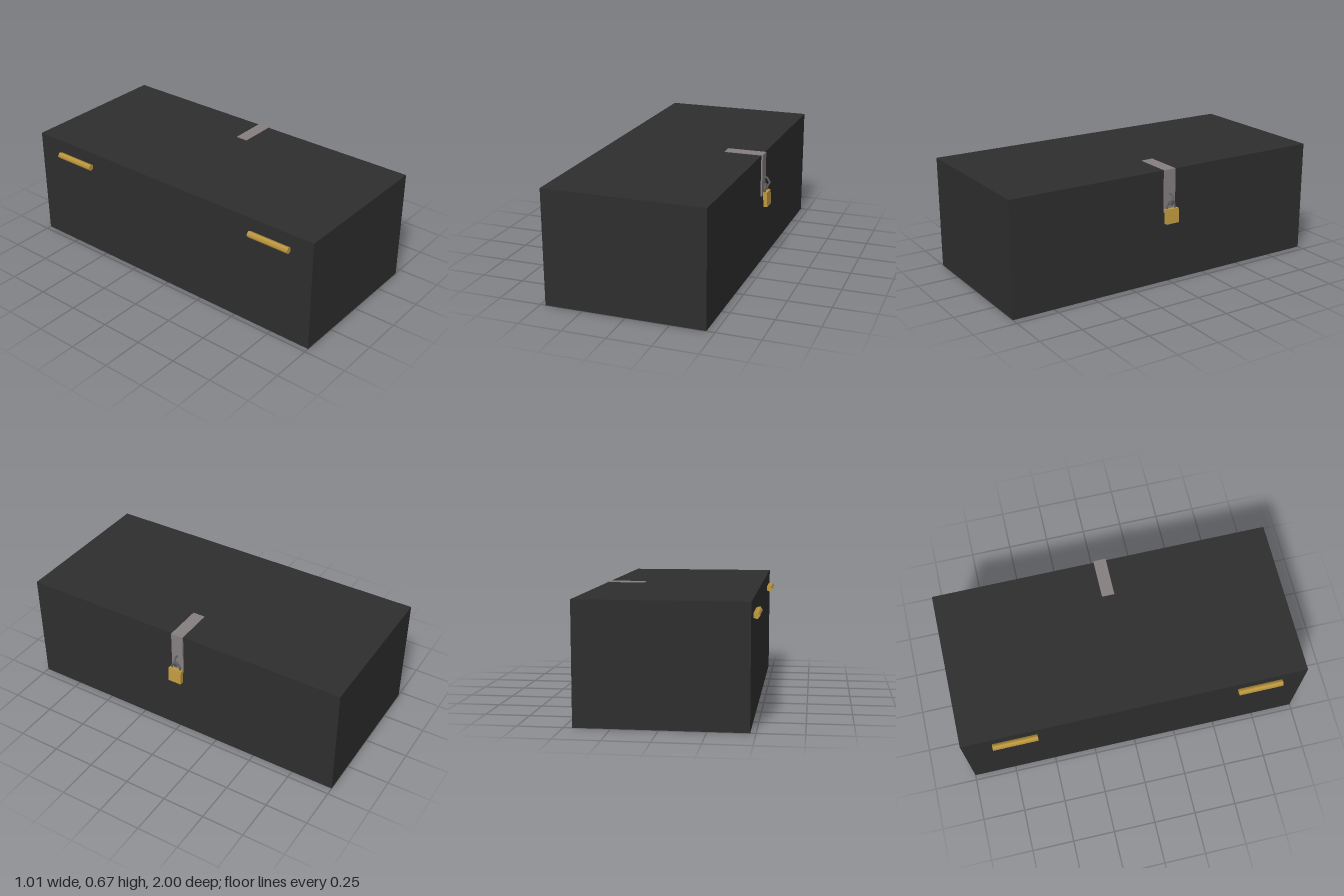
import * as THREE from 'three';

function material(name, color) {
  const m = new THREE.MeshStandardMaterial({ color });
  m.name = name;
  return m;
}

export function createModel() {
  const model = new THREE.Group();
  model.name = 'chest';
  const black = material('black', 0x2e2e2e);
  const grey = material('light grey', 0x857f80);
  const steel = material('dark steel', 0x626264);
  const brass = material('brass', 0xc09a40);

  const add = (name, geometry, mat, x = 0, y = 0, z = 0, parent = model) => {
    const mesh = new THREE.Mesh(geometry, mat);
    mesh.name = name;
    mesh.position.set(x, y, z);
    parent.add(mesh);
    return mesh;
  };

  // Square-section bar following straight segments between points
  const bar = (points, radius) => {
    const path = new THREE.CurvePath();
    for (let i = 1; i < points.length; i++) {
      path.add(new THREE.LineCurve3(points[i - 1], points[i]));
    }
    return new THREE.TubeGeometry(path, 40, radius, 6, false);
  };

  // Chest body
  add('chestBody', new THREE.BoxGeometry(0.923, 0.67, 2), black, -0.0085, 0.335, 0);

  // Five-sided hinge barrels along the back edge
  for (const [name, z] of [['rearHinge', -0.7], ['frontHinge', 0.73]]) {
    const barrel = new THREE.CylinderGeometry(0.02, 0.02, 0.26, 5, 1, false, -Math.PI / 2);
    barrel.rotateX(Math.PI / 2);
    add(name, barrel, brass, -0.486, 0.58, z);
  }

  // Hasp strap folded over the lid edge
  add('haspTop', new THREE.BoxGeometry(0.232, 0.006, 0.074), grey, 0.346, 0.67, 0);
  add('haspDrop', new THREE.BoxGeometry(0.01, 0.251, 0.074), grey, 0.457, 0.5475, 0);

  // Pointed staple standing out of the strap
  const staple = [[0.457, 0.53], [0.481, 0.53], [0.498, 0.5], [0.481, 0.47], [0.457, 0.47]]
    .map(([x, y]) => new THREE.Vector3(x, y, 0));
  add('staple', bar(staple, 0.006), steel);

  // Padlock, hanging at a slight tilt
  const padlock = new THREE.Group();
  padlock.name = 'padlock';
  padlock.position.set(0.484, 0.405, 0.001);
  padlock.rotation.z = 0.07;
  model.add(padlock);
  add('padlockBody', new THREE.BoxGeometry(0.023, 0.086, 0.084), brass, 0, 0, 0, padlock);

  const shackle = [[0.035, -0.026], [0.062, -0.026], [0.08, -0.014], [0.085, 0],
    [0.08, 0.014], [0.062, 0.026], [0.035, 0.026]]
    .map(([y, z]) => new THREE.Vector3(-0.004, y, z));
  add('shackle', bar(shackle, 0.006), steel, 0, 0, 0, padlock);

  return model;
}
